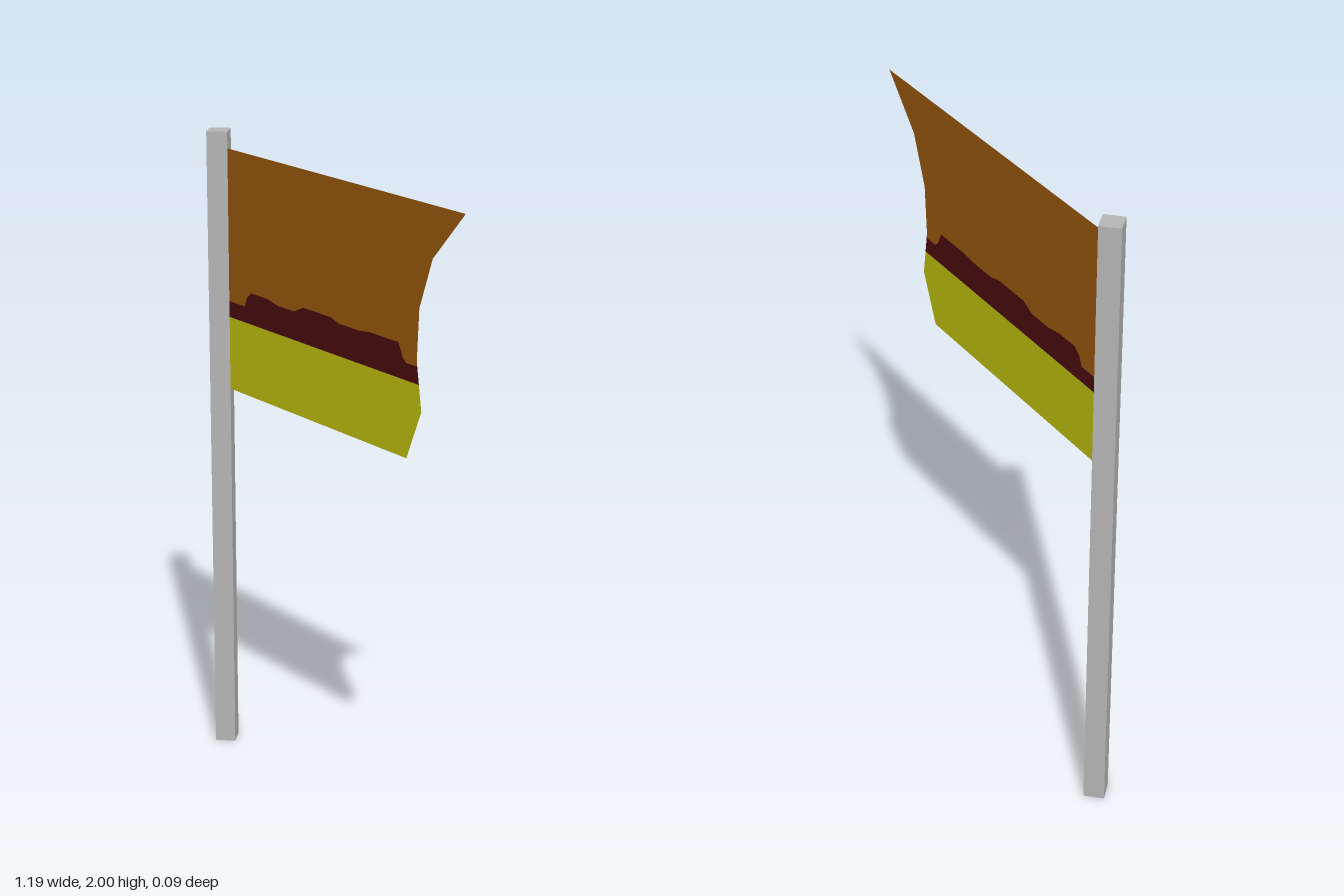
import * as THREE from 'three';

export function createModel() {
  const group = new THREE.Group();
  group.name = 'flagOnPole';

  const material = (name, color, side = THREE.FrontSide) => {
    const m = new THREE.MeshStandardMaterial({ color, side });
    m.name = name;
    return m;
  };
  const add = (name, geometry, mat) => {
    const mesh = new THREE.Mesh(geometry, mat);
    mesh.name = name;
    group.add(mesh);
    return mesh;
  };

  // Square pole turned so its corners point along x and z
  const poleX = -0.551;
  const poleGeometry = new THREE.CylinderGeometry(0.045, 0.045, 2, 4).toNonIndexed();
  poleGeometry.computeVertexNormals();
  add('pole', poleGeometry, material('grey', 0xb4b4b4)).position.set(poleX, 1, 0);

  // Flat cloth panels, hung from the middle of the pole
  const panel = (name, points, color, colorName) => {
    const shape = new THREE.Shape(points.map(([x, y]) => new THREE.Vector2(x, y)));
    add(name, new THREE.ShapeGeometry(shape), material(colorName, color, THREE.DoubleSide));
  };

  // Ragged line between the brown field and the dark band, left to right
  const ragged = [
    [poleX, 1.477], [-0.425, 1.477], [-0.412, 1.508], [-0.39, 1.525], [-0.31, 1.525],
    [-0.26, 1.515], [-0.175, 1.515], [-0.13, 1.536], [0, 1.536], [0.04, 1.525],
    [0.14, 1.525], [0.18, 1.531], [0.315, 1.531], [0.335, 1.49], [0.35, 1.478], [0.399, 1.478],
  ];
  const bandBottom = 1.427;

  panel('upperField', [
    ...ragged, [0.397, 1.5], [0.405, 1.648], [0.46, 1.8], [0.595, 1.95], [poleX, 1.95],
  ], 0x96560c, 'brown');

  panel('darkBand', [
    ...ragged, [0.407, bandBottom], [poleX, bandBottom],
  ], 0x4a0b0e, 'dark maroon');

  panel('lowerField', [
    [poleX, 1.197], [0.355, 1.197], [0.419, 1.35], [0.407, bandBottom], [poleX, bandBottom],
  ], 0xbbbb0e, 'yellow');

  return group;
}
